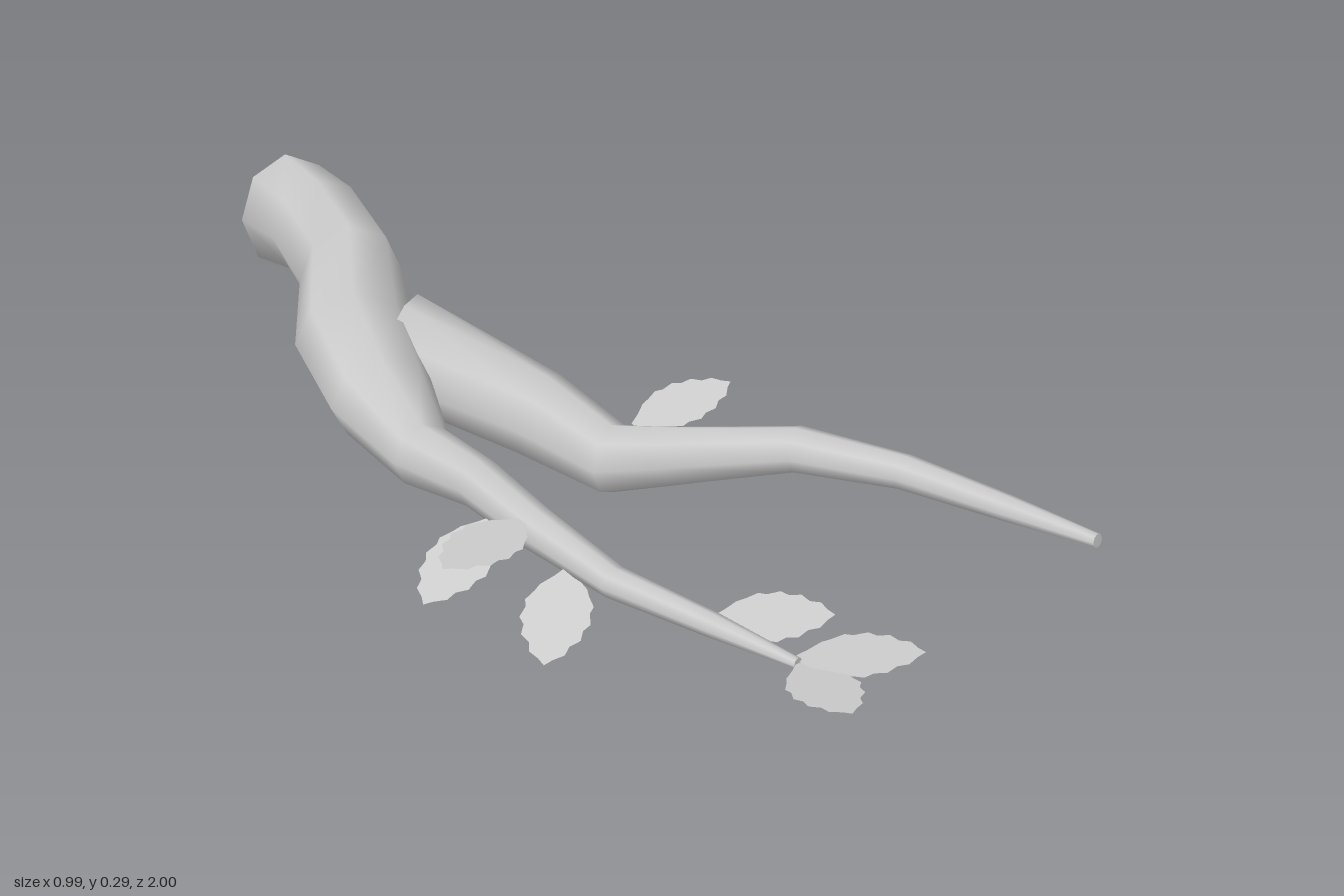
import * as THREE from 'three';

const SIDES = 8;
const bark = new THREE.MeshStandardMaterial({ color: 0xcccccc, side: THREE.DoubleSide });
const leafMaterial = new THREE.MeshStandardMaterial({ color: 0xcccccc, side: THREE.DoubleSide });
const UP = new THREE.Vector3(0, 1, 0);

// Loft elliptical rings [x, y, z, halfWidth, halfHeight] along a path; open at the start, closed at the tip
function limb(name, rings, startDirection) {
  const centres = rings.map(([x, y, z]) => new THREE.Vector3(x, y, z));
  const positions = [];
  const indices = [];
  rings.forEach(([, , , w, h], i) => {
    const before = centres[Math.max(i - 1, 0)];
    const after = centres[Math.min(i + 1, rings.length - 1)];
    const along = i === 0 ? startDirection.clone().normalize() : after.clone().sub(before).normalize();
    const side = new THREE.Vector3().crossVectors(UP, along).normalize();
    const top = new THREE.Vector3().crossVectors(along, side);
    for (let k = 0; k < SIDES; k++) {
      const a = (k / SIDES) * Math.PI * 2;
      const p = centres[i].clone()
        .addScaledVector(side, Math.cos(a) * w)
        .addScaledVector(top, Math.sin(a) * h);
      positions.push(p.x, p.y, p.z);
    }
  });
  for (let i = 0; i < rings.length - 1; i++) {
    for (let k = 0; k < SIDES; k++) {
      const a = i * SIDES + k;
      const b = i * SIDES + ((k + 1) % SIDES);
      indices.push(a, b, b + SIDES, a, b + SIDES, a + SIDES);
    }
  }
  // Tip cap with its own vertices, so its edge stays sharp
  const last = (rings.length - 1) * SIDES;
  const cap = positions.length / 3;
  positions.push(...positions.slice(last * 3));
  for (let k = 1; k < SIDES - 1; k++) indices.push(cap, cap + k, cap + k + 1);

  const geometry = new THREE.BufferGeometry();
  geometry.setAttribute('position', new THREE.Float32BufferAttribute(positions, 3));
  geometry.setIndex(indices);
  geometry.computeVertexNormals();
  const mesh = new THREE.Mesh(geometry, bark);
  mesh.name = name;
  return mesh;
}

// Flat leaf of unit length along +z with a toothed edge
function leafGeometry() {
  const edge = [
    [0.02, 0], [0.1, 0.1], [0.2, 0.2], [0.23, 0.27], [0.29, 0.37], [0.27, 0.44],
    [0.3, 0.55], [0.25, 0.62], [0.25, 0.72], [0.17, 0.79], [0.15, 0.88], [0.06, 0.94],
  ];
  const outline = [
    ...edge, [0, 1],
    ...edge.slice().reverse().map(([x, y]) => [-x, y]),
  ].map(([x, y]) => new THREE.Vector2(x, y));
  return new THREE.ShapeGeometry(new THREE.Shape(outline)).rotateX(Math.PI / 2);
}

// Place a leaf between its stem point and its tip
function leaf(geometry, base, tip, roll = 0) {
  const from = new THREE.Vector3(...base);
  const span = new THREE.Vector3(...tip).sub(from);
  const length = span.length();
  const forward = span.normalize();
  const side = new THREE.Vector3().crossVectors(UP, forward).normalize();
  const normal = new THREE.Vector3().crossVectors(forward, side);
  const mesh = new THREE.Mesh(geometry, leafMaterial);
  mesh.quaternion.setFromRotationMatrix(new THREE.Matrix4().makeBasis(side, normal, forward));
  mesh.rotateZ(roll);
  mesh.position.copy(from);
  mesh.scale.set(length, 1, length);
  mesh.name = 'leaf';
  return mesh;
}

export function createModel() {
  const model = new THREE.Group();
  model.name = 'branch';

  // Main limb, from the open cut end to the thin tip
  model.add(limb('mainLimb', [
    [-0.285, 0.15, -1, 0.092, 0.12],
    [-0.277, 0.195, -0.83, 0.093, 0.096],
    [-0.272, 0.172, -0.67, 0.094, 0.103],
    [-0.35, 0.187, -0.42, 0.105, 0.092],
    [-0.366, 0.172, -0.23, 0.092, 0.08],
    [-0.362, 0.165, -0.04, 0.054, 0.058],
    [-0.333, 0.212, 0.15, 0.041, 0.043],
    [-0.295, 0.205, 0.3, 0.036, 0.036],
    [-0.245, 0.212, 0.5, 0.027, 0.026],
    [-0.155, 0.215, 0.67, 0.02, 0.02],
    [-0.085, 0.222, 0.82, 0.009, 0.009],
  ], new THREE.Vector3(0, 0, 1)));

  // Side limb, dipping low before it rises to its tip
  model.add(limb('sideLimb', [
    [-0.285, 0.18, -0.39, 0.12, 0.08],
    [-0.09, 0.09, -0.21, 0.073, 0.082],
    [-0.015, 0.067, -0.055, 0.056, 0.066],
    [0.06, 0.105, 0.035, 0.046, 0.055],
    [0.212, 0.175, 0.2, 0.042, 0.04],
    [0.33, 0.19, 0.355, 0.031, 0.03],
    [0.415, 0.208, 0.54, 0.023, 0.022],
    [0.485, 0.228, 0.71, 0.011, 0.012],
  ], new THREE.Vector3(1, -0.3, 0.8)));

  // Leaves: stem point, tip, roll
  const geometry = leafGeometry();
  const leaves = [
    [[0.02, 0.13, -0.05], [0.205, 0.17, -0.055], 0.1],
    [[-0.335, 0.19, 0.22], [-0.495, 0.125, 0.32], 0],
    [[-0.315, 0.228, 0.3], [-0.487, 0.235, 0.395], 0],
    [[-0.285, 0.195, 0.41], [-0.385, 0.13, 0.555], 0],
    [[-0.155, 0.22, 0.66], [0.01, 0.24, 0.75], 0.15],
    [[-0.085, 0.222, 0.805], [0.085, 0.247, 0.9], 0],
    [[-0.085, 0.222, 0.82], [-0.085, 0.25, 1], 0],
  ];
  for (const [base, tip, roll] of leaves) model.add(leaf(geometry, base, tip, roll));

  return model;
}
